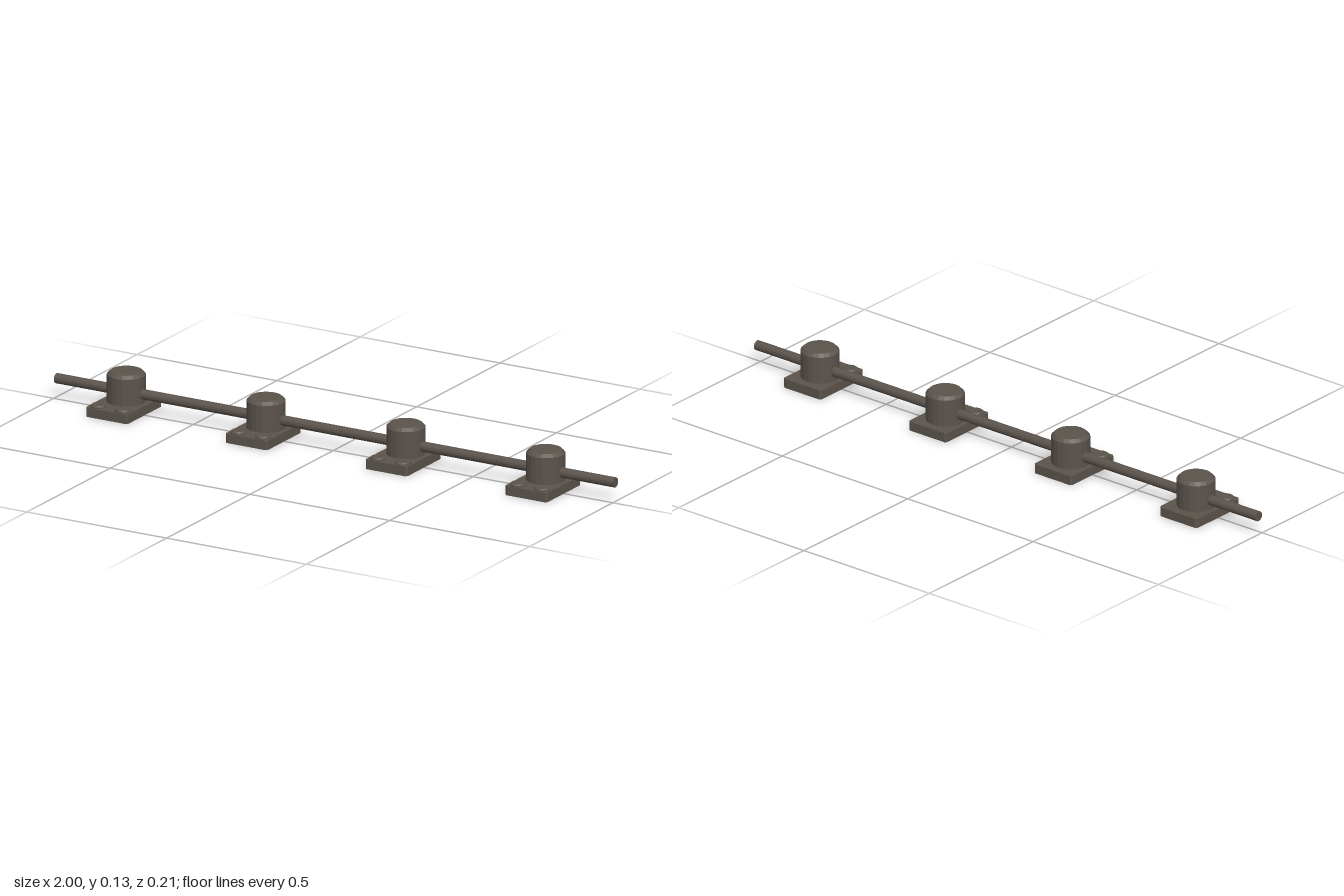
import * as THREE from 'three';

const metal = new THREE.MeshStandardMaterial({ color: 0x5b534c, flatShading: true });
metal.name = 'darkMetal';

function add(parent, name, geometry, x, y, z) {
  const mesh = new THREE.Mesh(geometry, metal);
  mesh.name = name;
  mesh.position.set(x, y, z);
  parent.add(mesh);
  return mesh;
}

// Solid of revolution with a chamfered top edge
function chamferedCylinder(radius, height, chamfer, sides) {
  return new THREE.LatheGeometry([
    new THREE.Vector2(0, 0),
    new THREE.Vector2(radius, 0),
    new THREE.Vector2(radius, height - chamfer),
    new THREE.Vector2(radius - chamfer, height),
    new THREE.Vector2(0, height),
  ], sides);
}

// Rectangular plate with slightly clipped vertical corners
function plateGeometry(width, depth, height, c) {
  const w = width / 2, d = depth / 2;
  const shape = new THREE.Shape([
    [w - c, -d], [w, -d + c], [w, d - c], [w - c, d],
    [-w + c, d], [-w, d - c], [-w, -d + c], [-w + c, -d],
  ].map(([x, y]) => new THREE.Vector2(x, y)));
  return new THREE.ExtrudeGeometry(shape, { depth: height, bevelEnabled: false }).rotateX(-Math.PI / 2);
}

export function createModel() {
  const model = new THREE.Group();
  model.name = 'railWithMounts';
  const axisZ = -0.0165;

  const plate = plateGeometry(0.15, 0.208, 0.03, 0.006);
  const post = chamferedCylinder(0.0605, 0.099, 0.01, 20);
  const bolt = chamferedCylinder(0.025, 0.01, 0.004, 16);

  // Four identical mounts along the rod
  for (const x of [-0.75, -0.25, 0.25, 0.75]) {
    const mount = new THREE.Group();
    mount.name = 'mount';
    mount.position.x = x;
    add(mount, 'basePlate', plate, 0, 0, 0);
    add(mount, 'post', post, 0, 0.028, axisZ);
    for (const side of [-1, 1]) add(mount, 'bolt', bolt, side * 0.044, 0.028, 0.0755);
    model.add(mount);
  }

  // Long rod through all posts
  add(model, 'rod', new THREE.CylinderGeometry(0.016, 0.016, 2, 16).rotateZ(Math.PI / 2), 0, 0.061, axisZ);
  return model;
}
